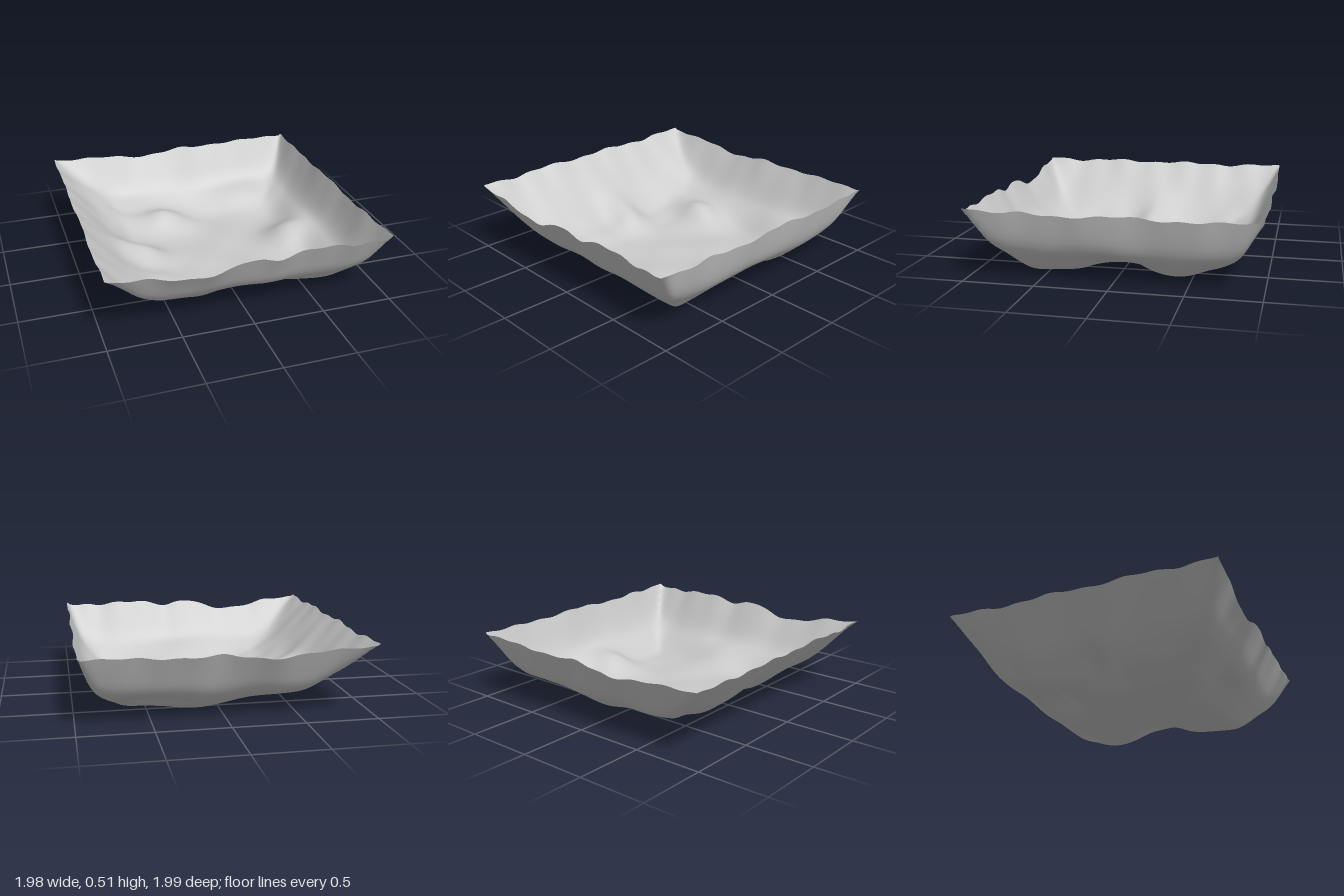
import * as THREE from 'three';

// linear interpolation through [position, value] pairs
function sample(points, t) {
  for (let i = 1; i < points.length; i++) {
    const [t0, v0] = points[i - 1], [t1, v1] = points[i];
    if (t <= t1) return v0 + (v1 - v0) * Math.max(0, (t - t0) / (t1 - t0));
  }
  return points[points.length - 1][1];
}

// the same curve with its kinks rounded off
function smooth(points, t, r) {
  let sum = 0;
  for (let k = -2; k <= 2; k++) sum += sample(points, t + (k * r) / 2);
  return sum / 5;
}

// wall profiles: distance from the centre -> height (run a little past the rim)
const WALLS = {
  left: [[0.32, 0.004], [0.54, 0.055], [0.73, 0.21], [0.85, 0.34], [1.06, 0.57]],
  right: [[0.64, 0.004], [0.71, 0.035], [0.79, 0.115], [0.885, 0.2], [0.93, 0.32], [1.04, 0.68]],
  front: [[0.57, 0.004], [0.64, 0.04], [0.84, 0.2], [0.91, 0.33], [1.06, 0.6]],
  back: [[0.57, 0.004], [0.65, 0.04], [0.84, 0.19], [0.91, 0.32], [1.06, 0.6]],
};

// uneven rim heights along each side
const RIMS = {
  front: [[-1, 0.52], [-0.7, 0.5], [-0.5, 0.435], [-0.25, 0.44], [-0.08, 0.52], [0.02, 0.515],
    [0.15, 0.475], [0.35, 0.525], [0.55, 0.525], [0.7, 0.5], [0.8, 0.515], [0.9, 0.495], [1, 0.525]],
  back: [[-1, 0.52], [-0.6, 0.51], [-0.25, 0.46], [0.05, 0.515], [0.3, 0.495], [0.7, 0.52], [1, 0.51]],
  left: [[-1, 0.51], [-0.8, 0.515], [-0.55, 0.495], [-0.2, 0.515], [0.1, 0.5], [0.4, 0.52], [0.7, 0.495], [1, 0.52]],
  right: [[-1, 0.51], [-0.7, 0.505], [-0.4, 0.49], [-0.1, 0.515], [0.3, 0.485], [0.6, 0.51], [0.8, 0.495], [1, 0.525]],
};

// mounds on the floor: x, z, radius x, radius z, height
const MOUNDS = [
  [-0.23, -0.52, 0.2, 0.15, 0.14],
  [-0.5, -0.64, 0.2, 0.15, 0.05],
  // spur running in from the left wall
  [-0.54, 0, 0.22, 0.14, 0.11],
  [-0.5, 0.33, 0.16, 0.13, 0.04],
  [0.66, 0, 0.16, 0.19, 0.14],
  [0.48, -0.68, 0.24, 0.13, 0.06],
  [0.1, 0.64, 0.25, 0.16, 0.08],
  // filled corners
  [0.68, -0.62, 0.16, 0.16, 0.04],
  [-0.52, 0.62, 0.18, 0.16, 0.05],
  [-0.76, -0.8, 0.16, 0.14, 0.08],
];

function heightAt(x, z) {
  const side = (name, d, along) => {
    const h = Math.min(0.5, smooth(WALLS[name], d, 0.04));
    const rim = smooth(RIMS[name], along, 0.04) + 0.006 * Math.sin(24 * along);
    return h * (1 + (rim / 0.5 - 1) * h / 0.5);
  };
  const walls = [side('left', -x, z), side('right', x, z), side('front', z, x), side('back', -z, x)];
  // corners are well rounded low down and sharpen towards the rim
  const top = Math.max(...walls);
  const round = Math.pow(walls.reduce((s, v) => s + Math.pow(v, 4), 0), 0.25);
  const h = round + (top - round) * Math.min(1, top / 0.5) ** 2;
  const fade = Math.max(0, 1 - h / 0.5);
  let y = h + Math.min(1, h / 0.2) * fade * 0.022 * Math.sin(9 * x + 4 * z) * Math.cos(8 * z - 3 * x);
  for (const [mx, mz, rx, rz, mh] of MOUNDS) {
    const d = ((x - mx) / rx) ** 2 + ((z - mz) / rz) ** 2;
    y += mh * Math.exp(-d) * fade;
  }
  // faint ripples on the floor
  y += 0.005 + 0.005 * Math.sin(13 * x + 2) * Math.sin(11 * z + 1) * Math.max(0, 1 - h / 0.3);
  return Math.max(0, Math.min(0.525, y));
}

export function createModel() {
  const group = new THREE.Group();
  group.name = 'terrainBasin';

  // one open sheet, raised into a square basin
  const geometry = new THREE.PlaneGeometry(2, 2, 90, 90).rotateX(-Math.PI / 2);
  const p = geometry.attributes.position;
  for (let i = 0; i < p.count; i++) {
    const u = p.getX(i), v = p.getZ(i);
    const x = u * 0.985 - 0.005, z = v * 0.99 - 0.002;
    const y = heightAt(x, z);
    // slightly wavy outline
    const edge = Math.max(Math.abs(u), Math.abs(v)) ** 6;
    p.setXYZ(i, x + edge * 0.006 * Math.sin(9 * v), y, z + edge * 0.006 * Math.cos(7 * u));
  }
  geometry.computeVertexNormals();

  const material = new THREE.MeshStandardMaterial({ color: 0xcccccc, side: THREE.DoubleSide });
  const basin = new THREE.Mesh(geometry, material);
  basin.name = 'basinGround';
  group.add(basin);
  return group;
}
